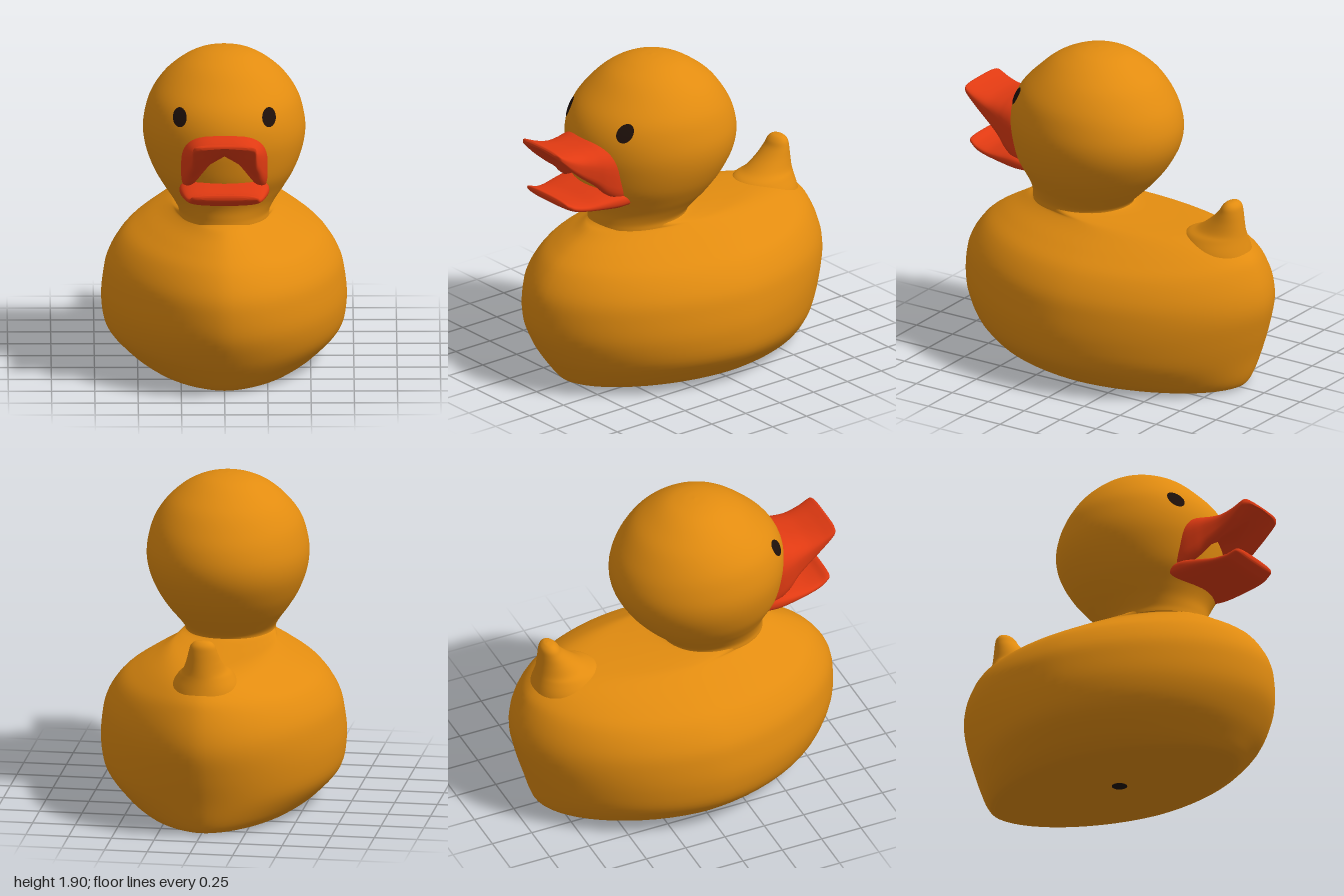
import * as THREE from 'three';

const yellow = new THREE.MeshStandardMaterial({ color: 0xe28c10 });
yellow.name = 'duckYellow';
const red = new THREE.MeshStandardMaterial({ color: 0xe03a12 });
red.name = 'billRed';
const black = new THREE.MeshStandardMaterial({ color: 0x1e100a });
black.name = 'eyeBlack';

const power = (v, n) => Math.sign(v) * Math.abs(v) ** (2 / n);

// Smooth interpolation of section rows: [position along axis, half width, high edge, low edge]
function sections(rows) {
  const a = new THREE.CatmullRomCurve3(rows.map(r => new THREE.Vector3(r[0], r[1], 0)), false, 'catmullrom');
  const b = new THREE.CatmullRomCurve3(rows.map(r => new THREE.Vector3(r[2], r[3], 0)), false, 'catmullrom');
  return t => {
    const p = a.getPoint(t), q = b.getPoint(t);
    return { at: p.x, w: Math.max(p.y, 0.001), mid: (q.x + q.y) / 2, h: Math.abs(q.x - q.y) / 2 };
  };
}

// Skin closed rings; the start cap has a crisp rim, the end cap a smooth one
function loft(name, material, rings, sides, point) {
  const pos = [], index = [];
  const centre = ring => ring.reduce((s, p) => s.add(p), new THREE.Vector3()).divideScalar(ring.length);
  const grid = [];
  for (let i = 0; i <= rings; i++) {
    const ring = [];
    for (let j = 0; j < sides; j++) ring.push(point(i / rings, j / sides * Math.PI * 2));
    grid.push(ring);
    ring.forEach(p => pos.push(p.x, p.y, p.z));
  }
  const startRim = (rings + 1) * sides;
  grid[0].forEach(p => pos.push(p.x, p.y, p.z));
  const c0 = centre(grid[0]), c1 = centre(grid[rings]);
  pos.push(c0.x, c0.y, c0.z, c1.x, c1.y, c1.z);
  const first = startRim + sides, last = first + 1;
  for (let j = 0; j < sides; j++) {
    const k = (j + 1) % sides;
    for (let i = 0; i < rings; i++) {
      const a = i * sides + j, b = i * sides + k, c = b + sides, d = a + sides;
      index.push(a, b, c, a, c, d);
    }
    index.push(first, startRim + k, startRim + j);
    index.push(last, rings * sides + j, rings * sides + k);
  }
  const g = new THREE.BufferGeometry();
  g.setAttribute('position', new THREE.Float32BufferAttribute(pos, 3));
  g.setIndex(index);
  g.computeVertexNormals();
  const mesh = new THREE.Mesh(g, material);
  mesh.name = name;
  return mesh;
}

// Horizontal rings stacked upwards
function upright(name, rows, n, rings = 64) {
  const section = sections(rows);
  return loft(name, yellow, rings, 64, (t, a) => {
    const s = section(t);
    return new THREE.Vector3(s.w * power(Math.sin(a), n), s.at, s.mid + s.h * power(Math.cos(a), n));
  });
}

// Bill halves: vertical rings running forwards, hollowed from below by `lift`
function bill(name, rows, lift) {
  const section = sections(rows);
  return loft(name, red, 40, 48, (t, a) => {
    const s = section(t), low = Math.sin(a) < 0;
    const n = low && lift ? 4 : 2.7;
    const u = power(Math.cos(a), n);
    let y = s.mid + s.h * power(Math.sin(a), n);
    if (low) y += 2 * lift * s.h * (1 - u * u) ** 2;
    return new THREE.Vector3(s.w * u, y, s.at);
  });
}

const bodyRows = [
  [0.002, 0.44, 0.75, -0.82], [0.02, 0.49, 0.79, -0.855], [0.08, 0.575, 0.84, -0.885],
  [0.2, 0.68, 0.92, -0.92], [0.35, 0.71, 0.985, -0.965], [0.5, 0.7, 0.995, -0.998],
  [0.62, 0.67, 0.97, -0.99], [0.74, 0.59, 0.89, -0.95], [0.82, 0.48, 0.79, -0.9],
  [0.885, 0.37, 0.68, -0.8], [0.92, 0.31, 0.62, -0.62], [0.935, 0.28, 0.58, -0.3],
  [0.95, 0.26, 0.555, -0.07], [0.98, 0.25, 0.55, -0.05],
];
const headRows = [
  [0.93, 0.26, 0.56, -0.05], [0.97, 0.265, 0.56, -0.06], [1.03, 0.3, 0.565, -0.12],
  [1.1, 0.35, 0.59, -0.19], [1.2, 0.41, 0.64, -0.27], [1.32, 0.455, 0.665, -0.335],
  [1.43, 0.47, 0.675, -0.355], [1.54, 0.455, 0.66, -0.335], [1.64, 0.42, 0.61, -0.285],
  [1.74, 0.35, 0.515, -0.21], [1.82, 0.26, 0.42, -0.11], [1.87, 0.17, 0.32, -0.02],
  [1.893, 0.085, 0.235, 0.07], [1.9, 0.005, 0.155, 0.145],
];
const tailRows = [
  [0.72, 0.2, -0.46, -0.9], [0.84, 0.2, -0.46, -0.875], [0.92, 0.16, -0.48, -0.858],
  [0.96, 0.125, -0.56, -0.852], [1.02, 0.1, -0.64, -0.845], [1.08, 0.083, -0.7, -0.838],
  [1.12, 0.07, -0.725, -0.83], [1.143, 0.045, -0.75, -0.81], [1.15, 0.005, -0.78, -0.79],
];
const upperRows = [
  [0.5, 0.25, 1.5, 1.1], [0.59, 0.25, 1.515, 1.13], [0.66, 0.235, 1.51, 1.18],
  [0.72, 0.215, 1.5, 1.25], [0.8, 0.195, 1.497, 1.32], [0.88, 0.187, 1.512, 1.395],
  [0.94, 0.183, 1.532, 1.46], [0.965, 0.172, 1.54, 1.49], [0.977, 0.13, 1.53, 1.51],
];
const lowerRows = [
  [0.48, 0.25, 1.21, 1.1], [0.58, 0.26, 1.225, 1.1], [0.68, 0.247, 1.21, 1.115],
  [0.78, 0.225, 1.195, 1.13], [0.86, 0.207, 1.205, 1.145], [0.905, 0.195, 1.225, 1.17],
  [0.925, 0.18, 1.228, 1.185], [0.933, 0.13, 1.215, 1.198],
];

// Height of the face surface in z at a given x and y
function faceZ(x, y) {
  const section = sections(headRows);
  let lo = 0, hi = 1;
  for (let i = 0; i < 30; i++) {
    const m = (lo + hi) / 2;
    if (section(m).at < y) lo = m; else hi = m;
  }
  const s = section(lo);
  return s.mid + s.h * Math.sqrt(Math.max(0, 1 - (x / s.w) ** 2));
}

// Painted eye that follows the face
function eye(name, side) {
  const g = new THREE.CircleGeometry(1, 28);
  g.scale(0.039, 0.053, 1).rotateZ(side * 0.2).translate(side * 0.258, 1.59, 0);
  const p = g.attributes.position;
  for (let i = 0; i < p.count; i++) p.setZ(i, faceZ(p.getX(i), p.getY(i)) + 0.006);
  g.computeVertexNormals();
  const mesh = new THREE.Mesh(g, black);
  mesh.name = name;
  return mesh;
}

export function createModel() {
  const duck = new THREE.Group();
  duck.name = 'rubberDuck';
  duck.add(
    upright('body', bodyRows, 1.8),
    upright('head', headRows, 2),
    upright('tail', tailRows, 2, 40),
    bill('upperBill', upperRows, 0.62),
    bill('lowerBill', lowerRows, 0),
    eye('leftEye', 1),
    eye('rightEye', -1),
  );
  // Squeaker hole under the body
  const hole = new THREE.Mesh(new THREE.CircleGeometry(0.045, 24).rotateX(Math.PI / 2), black);
  hole.name = 'squeakerHole';
  duck.add(hole);
  return duck;
}
